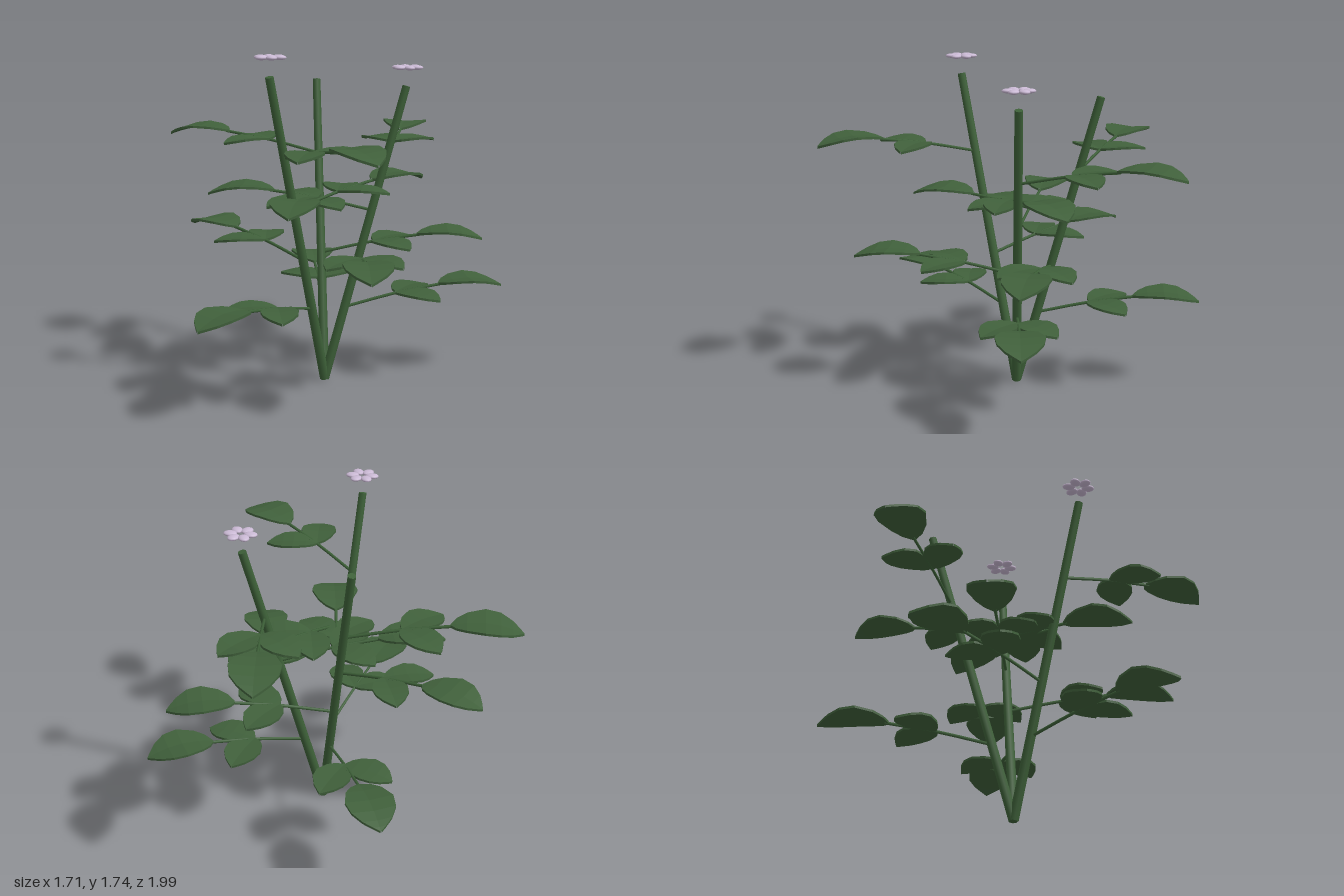
import * as THREE from 'three';

const material = (name, color) => {
  const m = new THREE.MeshStandardMaterial({ color });
  m.name = name;
  return m;
};

function part(name, geometry, mat, parent) {
  const mesh = new THREE.Mesh(geometry, mat);
  mesh.name = name;
  parent.add(mesh);
  return mesh;
}

// Faceted leaf along +x: slightly folded upward, arched, with a drooping tip.
function leafGeometry(length, arch) {
  // [distance along, half width, height], as fractions of the length
  const stations = [
    [0, 0.02, 0], [0.08, 0.15, 0.02], [0.22, 0.26, 0.045], [0.47, 0.35, 0.06],
    [0.68, 0.32, 0.035], [0.84, 0.21, -0.01], [0.94, 0.09, -0.045], [1, 0.005, -0.07],
  ];
  const half = 0.006, fold = 0.01;
  const positions = [], indices = [];
  for (const [s, w, h] of stations) {
    const x = s * length, z = w * length, y = h * length * arch;
    const edge = y + fold * (w / 0.35);
    positions.push(
      x, edge + half, -z, x, y + half, 0, x, edge + half, z,
      x, edge - half, z, x, y - half, 0, x, edge - half, -z,
    );
  }
  for (let i = 0; i < stations.length - 1; i++) {
    for (let j = 0; j < 6; j++) {
      const a = i * 6 + j, b = i * 6 + (j + 1) % 6;
      indices.push(a, b, b + 6, a, b + 6, a + 6);
    }
  }
  const indexed = new THREE.BufferGeometry();
  indexed.setAttribute('position', new THREE.Float32BufferAttribute(positions, 3));
  indexed.setIndex(indices);
  const flat = indexed.toNonIndexed();
  flat.computeVertexNormals();
  return flat;
}

export function createModel() {
  const model = new THREE.Group();
  model.name = 'floweringPlant';

  const stemGreen = material('stem green', 0x3d6038);
  const leafGreen = material('leaf green', 0x40603b);
  const lilac = material('petal lilac', 0xcab9d4);

  const endLeaf = leafGeometry(0.35, 1);
  const sideLeaf = leafGeometry(0.27, 0.5);
  const petalShape = new THREE.SphereGeometry(1, 12, 8);
  const stalkShape = new THREE.TubeGeometry(new THREE.CatmullRomCurve3([
    new THREE.Vector3(0, 0, 0),
    new THREE.Vector3(0.27, 0.06, 0),
    new THREE.Vector3(0.53, 0.1, 0),
  ]), 6, 0.008, 6);

  // Stalk with one end leaf and a mirrored pair of side leaves
  function addBranch(origin, azimuth, parent) {
    const branch = new THREE.Group();
    branch.name = 'branch';
    branch.position.copy(origin);
    branch.rotation.y = -azimuth;
    parent.add(branch);
    part('leafStalk', stalkShape, stemGreen, branch);
    part('endLeaf', endLeaf, leafGreen, branch).position.set(0.51, 0.1, 0);
    for (const side of [-1, 1]) {
      const leaf = part('sideLeaf', sideLeaf, leafGreen, branch);
      leaf.position.set(0.28, 0.063, 0);
      leaf.rotation.y = side * 0.78;
    }
  }

  // Ring of six flattened petals
  function addFlower(center, parent) {
    const flower = new THREE.Group();
    flower.name = 'flower';
    flower.position.copy(center);
    parent.add(flower);
    for (let i = 0; i < 6; i++) {
      const a = Math.PI / 6 + i * Math.PI / 3;
      const petal = part('petal', petalShape, lilac, flower);
      petal.scale.set(0.034, 0.012, 0.027);
      petal.position.set(Math.cos(a) * 0.05, 0, Math.sin(a) * 0.05);
      petal.rotation.y = -a;
    }
  }

  const base = new THREE.Vector3(-0.12, 0, -0.03);
  const stems = [
    { top: new THREE.Vector3(0.313, 1.545, -0.03), azimuth: 0, flower: true },
    { top: new THREE.Vector3(-0.435, 1.627, 0.26), azimuth: 2.4, flower: true },
    { top: new THREE.Vector3(-0.082, 1.55, -0.46), azimuth: 4.8, flower: false },
  ];

  for (const { top, azimuth, flower } of stems) {
    const group = new THREE.Group();
    group.name = 'shoot';
    model.add(group);

    // Leaning stem
    const axis = top.clone().sub(base);
    const stem = part('stem', new THREE.CylinderGeometry(0.021, 0.025, axis.length(), 8), stemGreen, group);
    stem.position.copy(base).addScaledVector(axis, 0.5);
    stem.quaternion.setFromUnitVectors(new THREE.Vector3(0, 1, 0), axis.clone().normalize());

    // Four branches spiralling up the stem
    for (let k = 0; k < 4; k++) {
      const origin = base.clone().addScaledVector(axis, 0.25 + k / 6);
      addBranch(origin, azimuth + k * 1.7, group);
    }
    if (flower) addFlower(top.clone().add(new THREE.Vector3(0.005, 0.095, 0)), group);
  }
  return model;
}
